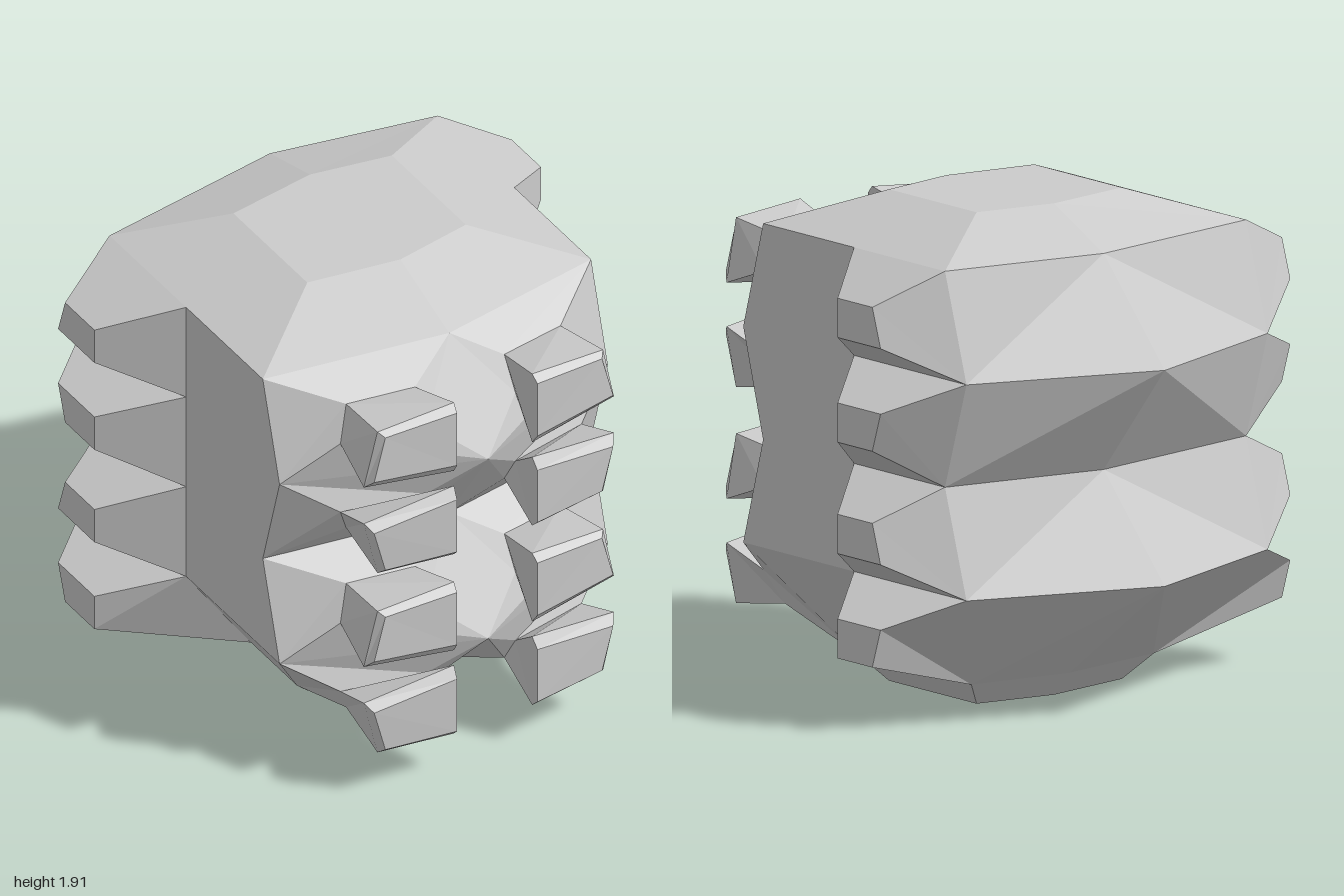
import * as THREE from 'three';

// Collects flat polygons; loops run counter-clockwise seen from outside on the +x side
class Faces {
  constructor() { this.pos = []; }
  quad(s, a, b, c, d) {
    const tris = s > 0 ? [a, b, c, a, c, d] : [a, c, b, a, d, c];
    for (const p of tris) this.pos.push(...p);
  }
  // join successive four-corner loops and close the last one
  boss(s, loops) {
    for (let k = 0; k + 1 < loops.length; k++) {
      const a = loops[k], b = loops[k + 1];
      for (let j = 0; j < 4; j++) {
        const n = (j + 1) % 4;
        this.quad(s, a[j], a[n], b[n], b[j]);
      }
    }
    this.quad(s, ...loops[loops.length - 1]);
  }
  mesh(name, mat) {
    const g = new THREE.BufferGeometry();
    g.setAttribute('position', new THREE.Float32BufferAttribute(this.pos, 3));
    g.computeVertexNormals();
    const m = new THREE.Mesh(g, mat);
    m.name = name;
    return m;
  }
}

// Levels: height, half width, front centre z, front corner z, back corner z, back centre z, back centre x
const LEVELS = [
  [0.00, 0.355, 0.28, 0.22, -0.31, -0.37, 0.04],
  [0.10, 0.445, 0.36, 0.29, -0.39, -0.46, 0.04],
  [0.52, 0.735, 0.91, 0.63, -0.72, -0.99, 0.00],
  [0.94, 0.735, 0.63, 0.51, -0.59, -0.72, 0.08],
  [1.36, 0.735, 0.91, 0.63, -0.72, -0.99, 0.00],
  [1.78, 0.735, 0.63, 0.51, -0.59, -0.72, 0.08],
  [1.91, 0.355, 0.28, 0.22, -0.31, -0.37, 0.04],
];

// Half ring from front centre round the side to back centre
function halfRing([y, w, fc, fk, bk, bc, bx], s) {
  const x = 0.015 + s * w;
  return [[0.04, y, fc], [x, y, fk], [x, y, -0.04], [x, y, bk], [bx, y, bc]];
}

// Pod loops: [half x, distance from the ridge, z] for inner near, outer near, outer far, inner far
const POD = [
  [[0.20, 0.16, 0.80], [0.54, 0.16, 0.73], [0.48, 0.29, 0.675], [0.20, 0.29, 0.72]],
  [[0.175, 0.035, 0.96], [0.56, 0.085, 0.93], [0.505, 0.33, 0.94], [0.175, 0.355, 0.96]],
  [[0.18, 0.08, 0.99], [0.535, 0.12, 0.965], [0.485, 0.31, 0.965], [0.18, 0.325, 0.99]],
];
// Side spike tip, same order: front near, back near, back far, front far
const SPIKE = [[1, 0.127, -0.25], [1, 0.127, -0.51], [1, 0.28, -0.46], [1, 0.28, -0.25]];

export function createModel() {
  const group = new THREE.Group();
  const mat = new THREE.MeshStandardMaterial({ color: 0xcccccc, flatShading: true });
  const body = new Faces(), pods = new Faces(), spikes = new Faces();

  for (const s of [1, -1]) {
    const rings = LEVELS.map((l) => halfRing(l, s));
    for (let i = 0; i < rings.length - 1; i++) {
      const lo = rings[i], hi = rings[i + 1];
      const ribbed = i > 0 && i < 5;
      // Ridge height of this band, and the direction away from it
      const up = i % 2 === 0;
      const ridge = up ? lo[0][1] : hi[0][1], d = up ? 1 : -1;
      const place = (loop, cx) => {
        const p = loop.map(([x, dy, z]) => [cx + s * x, ridge + d * dy + 0.012, z]);
        return up ? p : [p[3], p[2], p[1], p[0]];
      };
      for (let j = 0; j < 4; j++) {
        const base = [lo[j], lo[j + 1], hi[j + 1], hi[j]];
        if (ribbed && j === 0) {
          // Front panel tapering into a bevelled pod
          const [root, rim, face] = POD.map((l) => place(l, 0.03));
          for (let k = 0; k < 4; k++) {
            const n = (k + 1) % 4;
            body.quad(s, base[k], base[n], root[n], root[k]);
          }
          pods.boss(s, [root, rim, face]);
        } else if (ribbed && j === 2) {
          // Side panel drawn out into a blunt spike
          spikes.boss(s, [base, place(SPIKE, 0)]);
        } else {
          body.quad(s, ...base);
        }
      }
    }
    // Top and bottom caps
    const [b, t] = [rings[0], rings[6]];
    body.quad(s, t[0], t[1], t[3], t[4]);
    body.quad(-s, b[0], b[1], b[3], b[4]);
  }

  group.add(body.mesh('body', mat), pods.mesh('frontPods', mat), spikes.mesh('sideSpikes', mat));
  return group;
}
